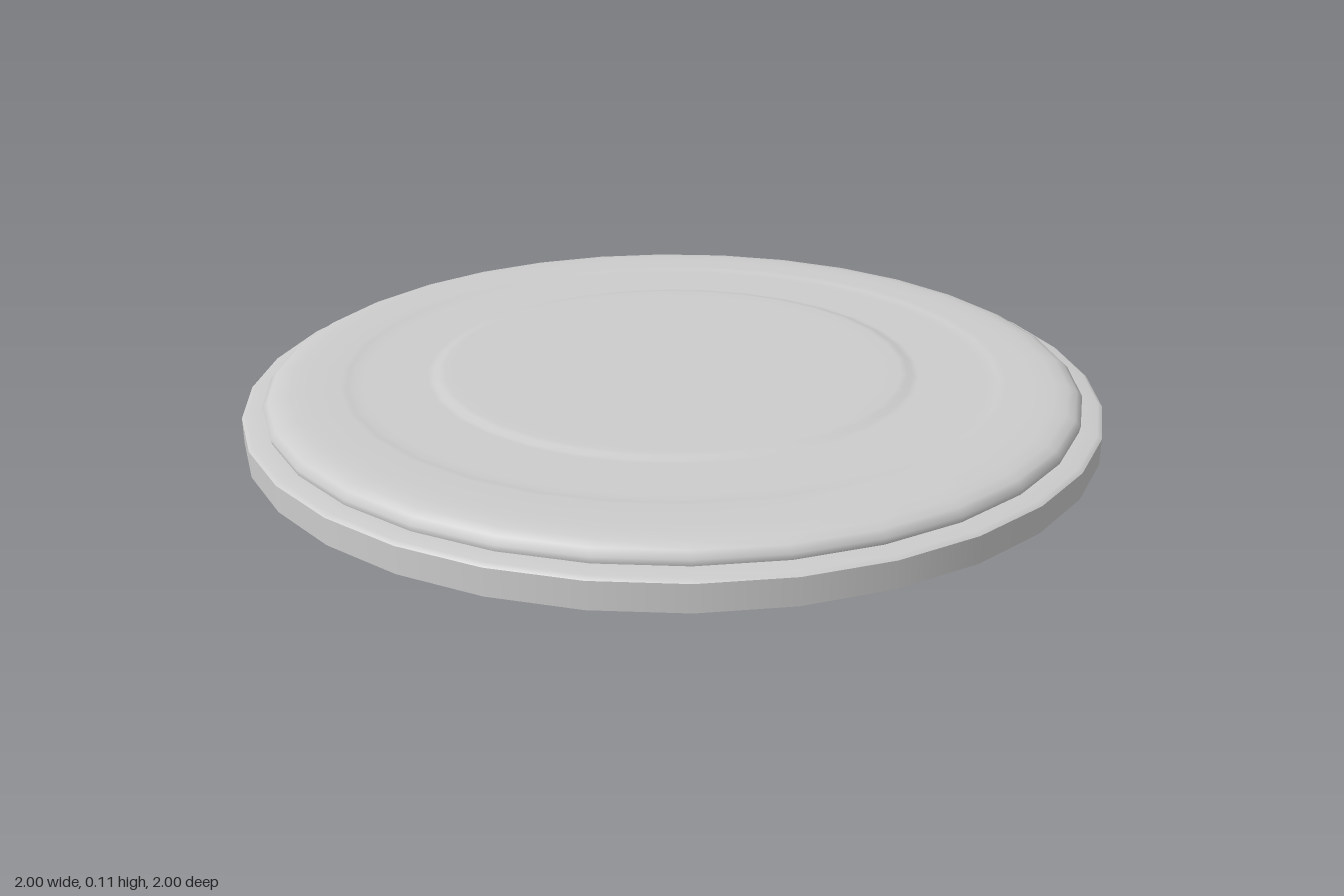
import * as THREE from 'three';

const SEGMENTS = 32;

export function createModel() {
  const group = new THREE.Group();
  group.name = 'jarLid';

  const metal = new THREE.MeshStandardMaterial({ color: 0xcccccc, side: THREE.DoubleSide });
  metal.name = 'pale metal';

  // Each part is a thin sheet turned from [radius, height] points
  const turn = (name, profile) => {
    const points = profile.map(([r, y]) => new THREE.Vector2(r, y));
    const mesh = new THREE.Mesh(new THREE.LatheGeometry(points, SEGMENTS), metal);
    mesh.name = name;
    group.add(mesh);
  };

  // Upright side wall, open underneath
  turn('skirt', [[1, 0], [1, 0.06]]);

  // Narrow ledge with a softened outer edge
  turn('ledge', [[1, 0.06], [0.99, 0.067], [0.95, 0.069]]);

  // Rounded rim, shallow recess and slightly raised centre
  turn('topPanel', [
    [0.95, 0.069], [0.953, 0.083], [0.94, 0.096], [0.92, 0.105], [0.89, 0.109], [0.85, 0.11],
    [0.78, 0.11], [0.765, 0.108], [0.75, 0.106], [0.73, 0.106],
    [0.58, 0.106], [0.567, 0.107], [0.555, 0.112], [0.54, 0.114], [0.5, 0.114], [0, 0.114],
  ]);

  return group;
}
